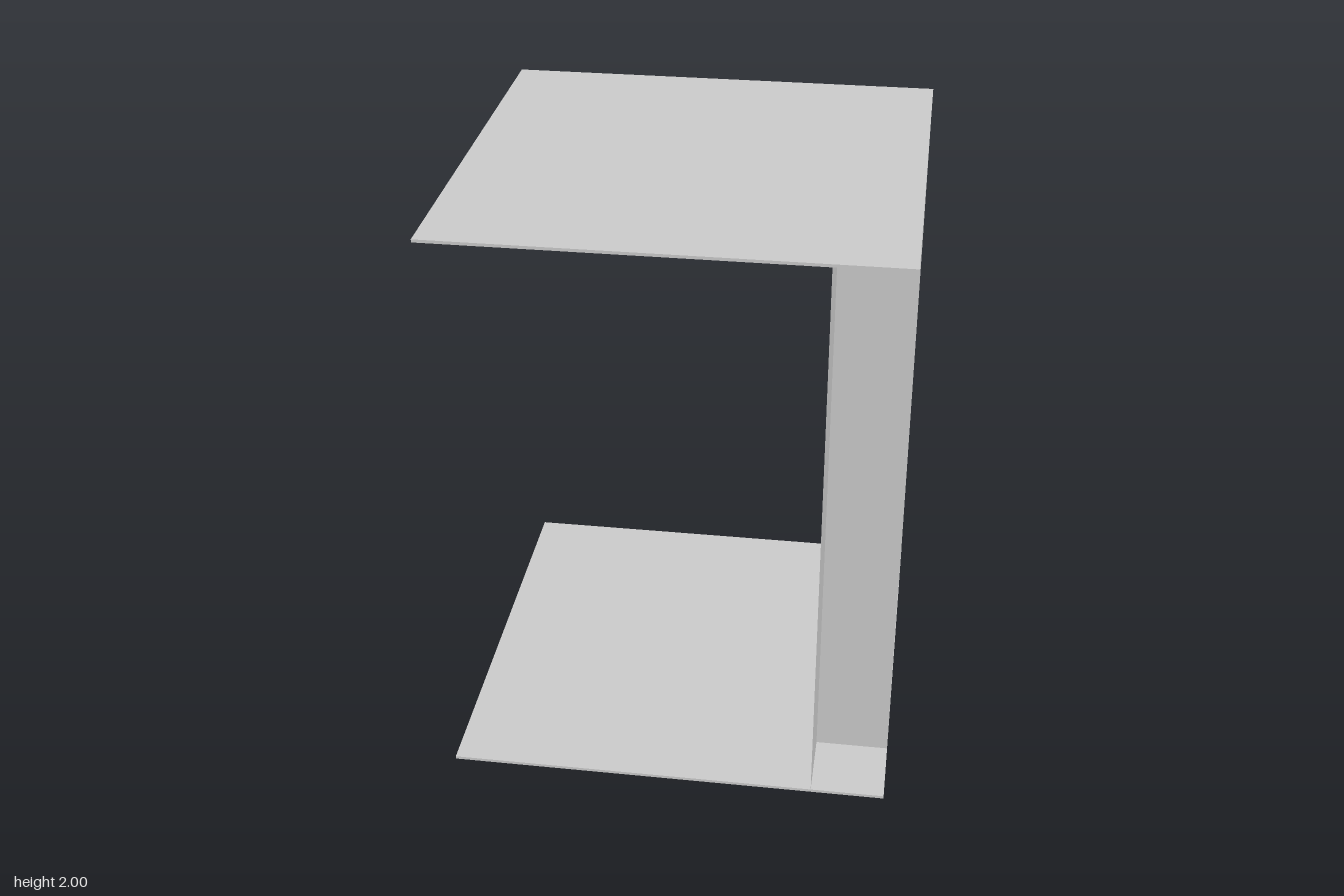
import * as THREE from 'three';

const SIZE = 1.5, HEIGHT = 2, PLATE = 0.01;
const INNER = 0.5, FRAME = 0.2, OUTER = 0.75;
const WALL_H = HEIGHT - 2 * PLATE;

export function createModel() {
  const model = new THREE.Group();
  const solid = new THREE.MeshStandardMaterial({ color: 0xcccccc, flatShading: true });
  const sheet = new THREE.MeshStandardMaterial({ color: 0xcccccc, flatShading: true, side: THREE.DoubleSide });

  const add = (name, geometry, material, x, y, z) => {
    const mesh = new THREE.Mesh(geometry, material);
    mesh.name = name;
    mesh.position.set(x, y, z);
    model.add(mesh);
    return mesh;
  };

  // Thin square floor and ceiling
  const plate = new THREE.BoxGeometry(SIZE, PLATE, SIZE);
  add('floor', plate, solid, 0, PLATE / 2, 0);
  add('ceiling', plate, solid, 0, HEIGHT - PLATE / 2, 0);

  // Door frame: two jambs and a lintel in one outline, extruded through the wall
  const outline = new THREE.Shape([
    [-0.5, PLATE], [-0.4, PLATE], [-0.4, 1.8], [0.4, 1.8], [0.4, PLATE],
    [0.5, PLATE], [0.5, HEIGHT - PLATE], [-0.5, HEIGHT - PLATE],
  ].map(([x, y]) => new THREE.Vector2(x, y)));
  const frameGeometry = new THREE.ExtrudeGeometry(outline, { depth: FRAME, bevelEnabled: false });
  add('doorFrame', frameGeometry, solid, INNER, 0, 0).rotation.y = Math.PI / 2;

  // Sheet walls on both sides of the door, leaving the outer corners open
  for (const [label, s] of [['front', 1], ['back', -1]]) {
    const wall = new THREE.PlaneGeometry(OUTER - 0.5, WALL_H);
    add(label + 'InnerWall', wall, sheet, INNER, HEIGHT / 2, s * (0.5 + OUTER) / 2).rotation.y = Math.PI / 2;

    // Lip that carries the side of the frame out to the plate edge
    const lipX = INNER + FRAME;
    const lip = new THREE.PlaneGeometry(OUTER - lipX, WALL_H);
    add(label + 'ReturnWall', lip, sheet, (lipX + OUTER) / 2, HEIGHT / 2, s * 0.5);
  }
  return model;
}
